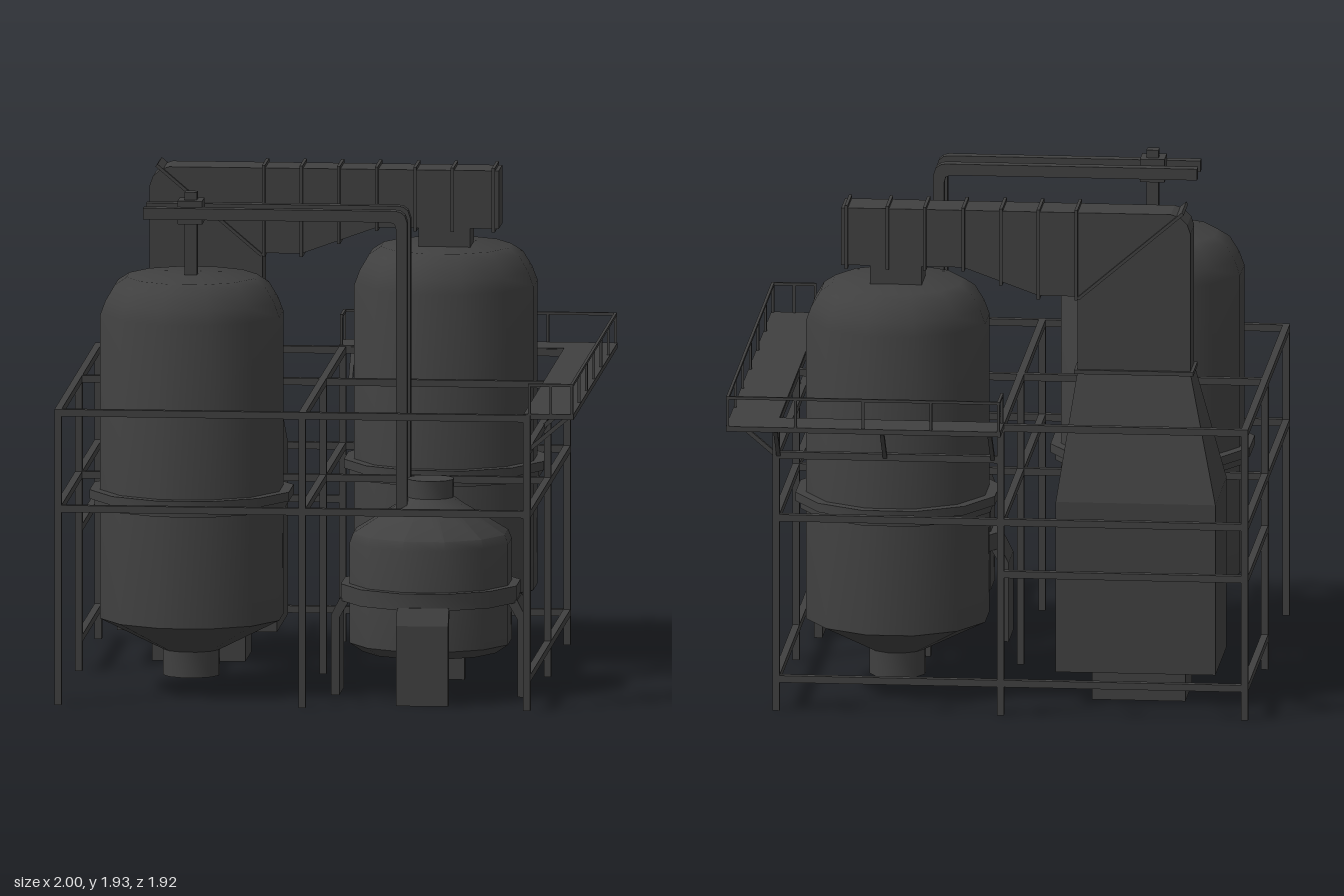
import * as THREE from 'three';
import { toCreasedNormals } from 'three/addons/utils/BufferGeometryUtils.js';

export function createModel() {
  const model = new THREE.Group();
  const steel = new THREE.MeshStandardMaterial({ color: 0x404040 });
  steel.name = 'dark steel';

  const group = (name, parent = model) => {
    const g = new THREE.Group();
    g.name = name;
    parent.add(g);
    return g;
  };
  const add = (parent, name, geometry) => {
    const m = new THREE.Mesh(geometry, steel);
    m.name = name;
    parent.add(m);
    return m;
  };
  // Box given by its minimum and maximum corners
  const box = (parent, name, a, b) => {
    const m = add(parent, name, new THREE.BoxGeometry(b[0] - a[0], b[1] - a[1], b[2] - a[2]));
    m.position.set((a[0] + b[0]) / 2, (a[1] + b[1]) / 2, (a[2] + b[2]) / 2);
    return m;
  };
  // Square bar between two points
  const bar = (parent, name, a, b, t) => {
    const p = new THREE.Vector3(...a), q = new THREE.Vector3(...b);
    const m = add(parent, name, new THREE.BoxGeometry(t, t, p.distanceTo(q) + t * 0.9));
    m.position.copy(p).add(q).multiplyScalar(0.5);
    m.lookAt(q);
    return m;
  };
  // Twelve-sided turned body; radii are measured to the flats
  const turned = (parent, name, profile) => {
    const k = 1 / Math.cos(Math.PI / 12);
    const pts = profile.map(([r, y]) => new THREE.Vector2(r * k, y));
    return add(parent, name, toCreasedNormals(new THREE.LatheGeometry(pts, 12, Math.PI / 12), 0.65));
  };
  const extrude = (points, depth) => {
    const shape = new THREE.Shape(points.map(([x, y]) => new THREE.Vector2(x, y)));
    const g = new THREE.ExtrudeGeometry(shape, { depth, bevelEnabled: false });
    g.translate(0, 0, -depth / 2);
    return g;
  };

  // Two tall tanks with domed tops, conical bottoms and support rings
  for (const [name, x, z] of [['frontTank', -0.51, 0.505], ['backTank', 0.39, -0.39]]) {
    const tank = group(name);
    tank.position.set(x, 0, z);
    turned(tank, 'tankShell', [[0, 0.06], [0.107, 0.06], [0.107, 0.16], [0.345, 0.285], [0.345, 1.46],
      [0.325, 1.515], [0.29, 1.575], [0.245, 1.605], [0, 1.61]]);
    turned(tank, 'supportRing', [[0.34, 0.72], [0.365, 0.72], [0.365, 0.75], [0.384, 0.75], [0.384, 0.785], [0.34, 0.785]]);
  }

  // Small reactor vessel on four bent legs
  const reactor = group('reactor');
  reactor.position.set(0.41, 0, 0.5);
  turned(reactor, 'reactorShell', [[0, 0.165], [0.255, 0.165], [0.305, 0.2], [0.305, 0.59], [0.292, 0.625],
    [0.12, 0.735], [0.088, 0.76], [0.088, 0.83], [0, 0.83]]);
  turned(reactor, 'collar', [[0.3, 0.365], [0.338, 0.365], [0.338, 0.43], [0.3, 0.43]]);
  const legShape = extrude([[0.343, 0], [0.375, 0], [0.375, 0.31], [0.342, 0.375], [0.3, 0.375], [0.343, 0.3]], 0.2);
  for (let i = 0; i < 4; i++) add(reactor, 'reactorLeg', legShape).rotation.y = i * Math.PI / 2;

  // Twin pipes from the reactor over the front tank
  const pipes = group('pipes');
  for (const z of [0.43, 0.568]) {
    const pipe = extrude([[-0.69, 1.832], [0.26, 1.832], [0.278, 1.825], [0.284, 1.805], [0.284, 0.69], [0.327, 0.69],
      [0.327, 1.83], [0.318, 1.858], [0.3, 1.872], [0.28, 1.876], [-0.69, 1.876]], 0.043);
    add(pipes, 'pipe', pipe).position.z = z;
  }
  box(pipes, 'tankNozzle', [-0.535, 1.58, 0.482], [-0.488, 1.93, 0.528]);
  box(pipes, 'nozzleClamp', [-0.56, 1.81, 0.455], [-0.465, 1.9, 0.555]);

  // Hopper: box bottom, tapered neck and base
  const hopper = group('hopper');
  const [hx0, hx1, hz0, hz1] = [-0.855, -0.24, -0.63, -0.155];
  box(hopper, 'hopperBase', [-0.73, 0, -0.525], [-0.37, 0.14, -0.25]);
  box(hopper, 'hopperBin', [hx0, 0.13, hz0], [hx1, 0.8, hz1]);
  let taper = new THREE.BoxGeometry(1, 1, 1);
  const pos = taper.attributes.position;
  for (let i = 0; i < pos.count; i++) {
    const top = pos.getY(i) > 0, right = pos.getX(i) > 0, front = pos.getZ(i) > 0;
    if (top) pos.setXYZ(i, right ? -0.31 : -0.745, 1.28, front ? -0.315 : -0.475);
    else pos.setXYZ(i, right ? hx1 : hx0, 0.8, front ? hz1 : hz0);
  }
  taper = taper.toNonIndexed();
  taper.computeVertexNormals();
  add(hopper, 'hopperTaper', taper);
  box(hopper, 'hopperFlange', [-0.757, 1.272, -0.488], [-0.298, 1.288, -0.302]);

  // Duct from the hopper to the back tank, with flanges
  const duct = group('duct');
  const ductBody = extrude([[-0.745, 1.28], [-0.31, 1.28], [-0.31, 1.575], [-0.16, 1.575], [0.13, 1.68], [0.6, 1.68],
    [0.6, 1.905], [-0.67, 1.905], [-0.705, 1.893], [-0.733, 1.865], [-0.745, 1.83]], 0.16);
  add(duct, 'ductBody', ductBody).position.z = -0.395;
  box(duct, 'ductOutlet', [0.29, 1.58, -0.475], [0.49, 1.69, -0.315]);
  for (const x of [-0.305, -0.16, -0.016, 0.13, 0.278, 0.422, 0.58]) {
    const bottom = x < -0.15 ? 1.575 : Math.min(1.68, 1.575 + (x + 0.16) * 0.362);
    box(duct, 'ductFlange', [x - 0.006, bottom - 0.012, -0.49], [x + 0.006, 1.917, -0.3]);
  }
  const miter = add(duct, 'elbowFlange', new THREE.BoxGeometry(0.53, 0.012, 0.19));
  miter.position.set(-0.515, 1.74, -0.395);
  miter.rotation.z = -Math.atan2(0.345, 0.405);

  // Steel frame: nine columns and beams at several levels
  const frame = group('frame');
  const X = [-0.985, -0.045, 0.82], Z = [-0.81, 0.04, 0.945], t = 0.027;
  for (const x of X) for (const z of Z) box(frame, 'column', [x - t / 2, 0, z - t / 2], [x + t / 2, 1.145, z + t / 2]);
  const beamX = (y, x0, x1, z) => bar(frame, 'beam', [x0, y, z], [x1, y, z], t);
  const beamZ = (y, z0, z1, x) => bar(frame, 'beam', [x, y, z0], [x, y, z1], t);
  for (const y of [1.132, 0.76]) {
    for (const z of Z) beamX(y, X[0], X[2], z);
    for (const x of X) beamZ(y, Z[0], Z[2], x);
  }
  beamX(1.007, X[1], X[2], Z[0]);
  beamZ(1.007, Z[0], Z[2], X[2]);
  beamX(0.555, X[0], X[1], Z[0]);
  beamZ(0.555, Z[0], Z[1], X[0]);
  beamX(0.125, X[0], X[2], Z[0]);
  beamZ(0.125, Z[0], Z[1], X[0]);
  beamZ(0.125, Z[0], Z[2], X[2]);

  // Walkway along the right and back, with braces underneath
  const walkway = group('walkway');
  box(walkway, 'sideDeck', [0.808, 1.13, -0.8], [1, 1.15, 0.955]);
  box(walkway, 'backDeck', [-0.058, 1.13, -0.965], [1, 1.15, -0.8]);
  for (const z of [0.92, 0.32, -0.285, -0.8]) bar(walkway, 'brace', [0.825, 1.007, z], [0.97, 1.13, z], 0.016);
  for (const x of [-0.015, 0.4, 0.81]) bar(walkway, 'brace', [x, 1.007, -0.815], [x, 1.13, -0.945], 0.016);

  // Railing around the open edges of the walkway
  const railing = group('railing', walkway);
  const path = [[0.83, 0.948], [0.993, 0.948], [0.993, -0.958], [-0.05, -0.958], [-0.05, -0.815]];
  const bays = [2, 6, 4, 1];
  for (let i = 0; i < 4; i++) {
    const [a, b] = [path[i], path[i + 1]];
    bar(railing, 'topRail', [a[0], 1.262, a[1]], [b[0], 1.262, b[1]], 0.011);
    for (let j = 0; j <= bays[i]; j++) {
      const s = j / bays[i], x = a[0] + (b[0] - a[0]) * s, z = a[1] + (b[1] - a[1]) * s;
      box(railing, 'railPost', [x - 0.005, 1.14, z - 0.005], [x + 0.005, 1.262, z + 0.005]);
    }
  }
  return model;
}
